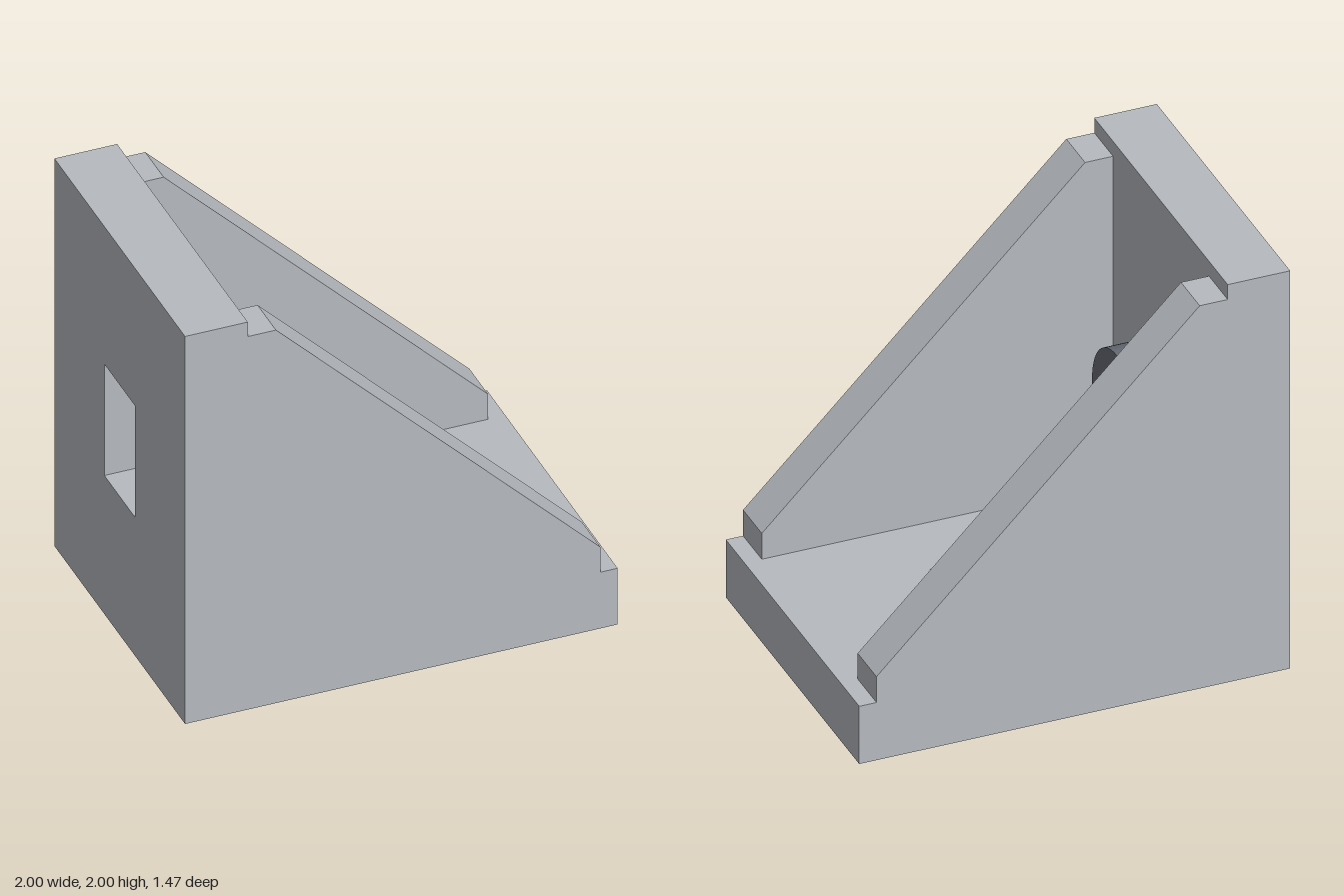
import * as THREE from 'three';

const HALF_WIDTH = 0.735, PLATE = 0.29, RIB = 0.207, WALL_X = -0.71;

function rectangle(Type, x0, y0, x1, y1) {
  return new Type([[x0, y0], [x1, y0], [x1, y1], [x0, y1]].map(p => new THREE.Vector2(...p)));
}

function extrude(shape, depth) {
  return new THREE.ExtrudeGeometry(shape, { depth, bevelEnabled: false });
}

export function createModel() {
  const group = new THREE.Group();
  const metal = new THREE.MeshStandardMaterial({ color: 0xb6babf });
  metal.name = 'light grey metal';
  const bolt = new THREE.MeshStandardMaterial({ color: 0x686d77 });
  bolt.name = 'dark grey steel';

  const add = (name, geometry, material, x = 0, y = 0, z = 0) => {
    const mesh = new THREE.Mesh(geometry, material);
    mesh.name = name;
    mesh.position.set(x, y, z);
    group.add(mesh);
    return mesh;
  };

  // Upright plate with a vertical slot
  const wall = rectangle(THREE.Shape, -HALF_WIDTH, 0, HALF_WIDTH, 2);
  wall.holes.push(rectangle(THREE.Path, -0.173, 0.715, 0.173, 1.29));
  add('uprightPlate', extrude(wall, PLATE).rotateY(Math.PI / 2), metal, -1);

  // Base plate with a lengthwise slot
  const base = rectangle(THREE.Shape, WALL_X, -HALF_WIDTH, 1, HALF_WIDTH);
  base.holes.push(rectangle(THREE.Path, -0.29, -0.173, 0.29, 0.173));
  add('basePlate', extrude(base, PLATE).rotateX(-Math.PI / 2), metal);

  // Sloping side ribs
  const rib = new THREE.Shape([
    [WALL_X, PLATE], [0.92, PLATE], [0.92, 0.42], [-0.58, 1.925], [WALL_X, 1.925],
  ].map(p => new THREE.Vector2(...p)));
  const ribGeometry = extrude(rib, RIB);
  add('leftRib', ribGeometry, metal, 0, 0, HALF_WIDTH - RIB);
  add('rightRib', ribGeometry, metal, 0, 0, -HALF_WIDTH);

  // Bolt heads: one on the upright plate, one sunk into the base plate
  const head = new THREE.CylinderGeometry(0.273, 0.273, 0.205, 64);
  add('uprightBoltHead', head, bolt, WALL_X + 0.1025, 1, 0).rotation.z = -Math.PI / 2;
  add('baseBoltHead', head, bolt, 0, PLATE - 0.1045, 0);

  return group;
}
